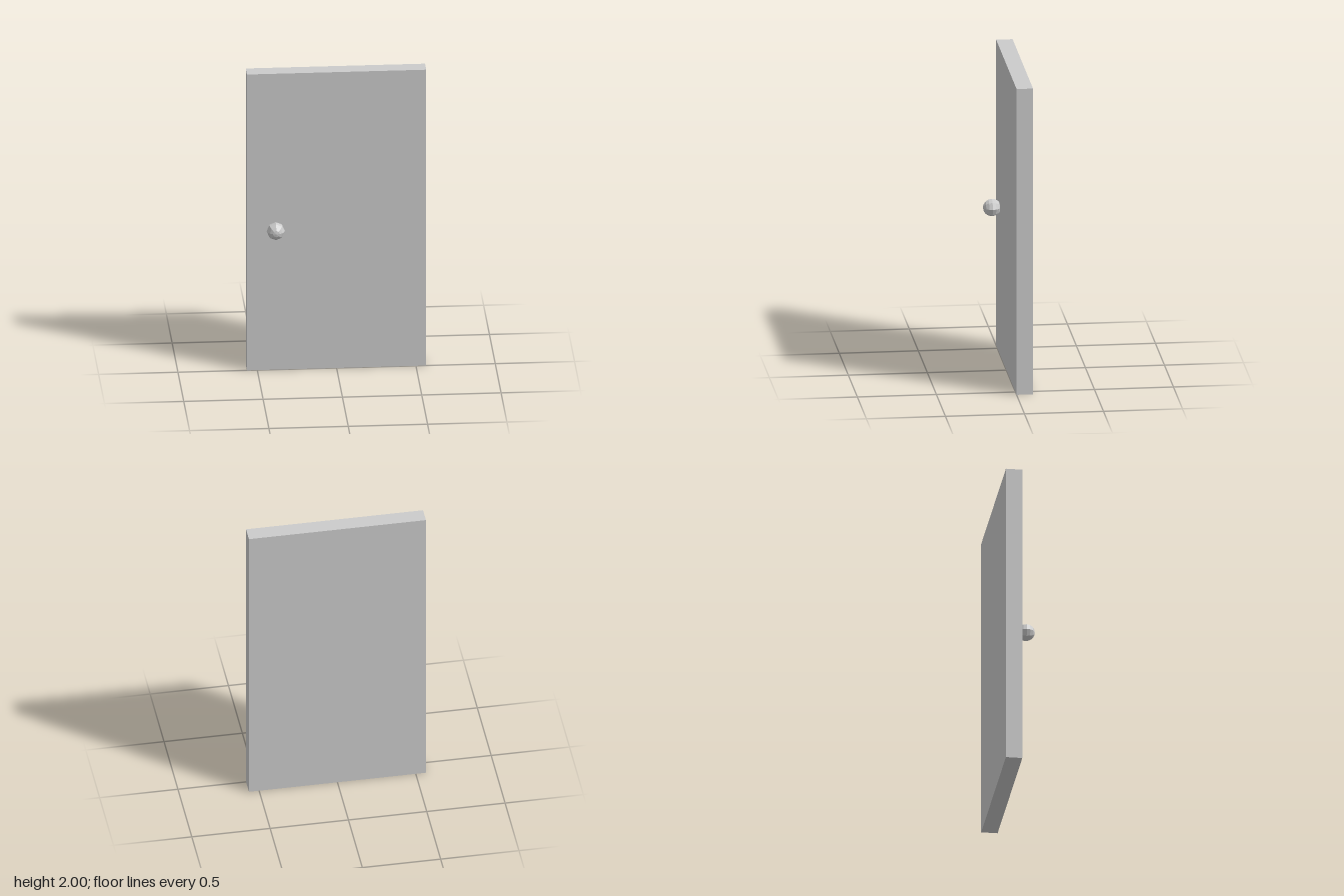
import * as THREE from 'three';

export function createModel() {
  const group = new THREE.Group();
  const material = new THREE.MeshStandardMaterial({ color: 0xcccccc, flatShading: true });

  // Plain slab, its front face on z = 0
  const width = 1.13, height = 2, depth = 0.104;
  const panel = new THREE.Mesh(new THREE.BoxGeometry(width, height, depth), material);
  panel.name = 'doorPanel';
  panel.position.set(0, height / 2, -depth / 2);
  group.add(panel);

  // Faceted round knob, its poles pointing front and back
  const radius = 0.057;
  const knob = new THREE.Mesh(new THREE.SphereGeometry(radius, 8, 8).rotateX(Math.PI / 2), material);
  knob.name = 'doorKnob';
  knob.position.set(-0.387, 0.955, depth - radius);
  group.add(knob);

  return group;
}
